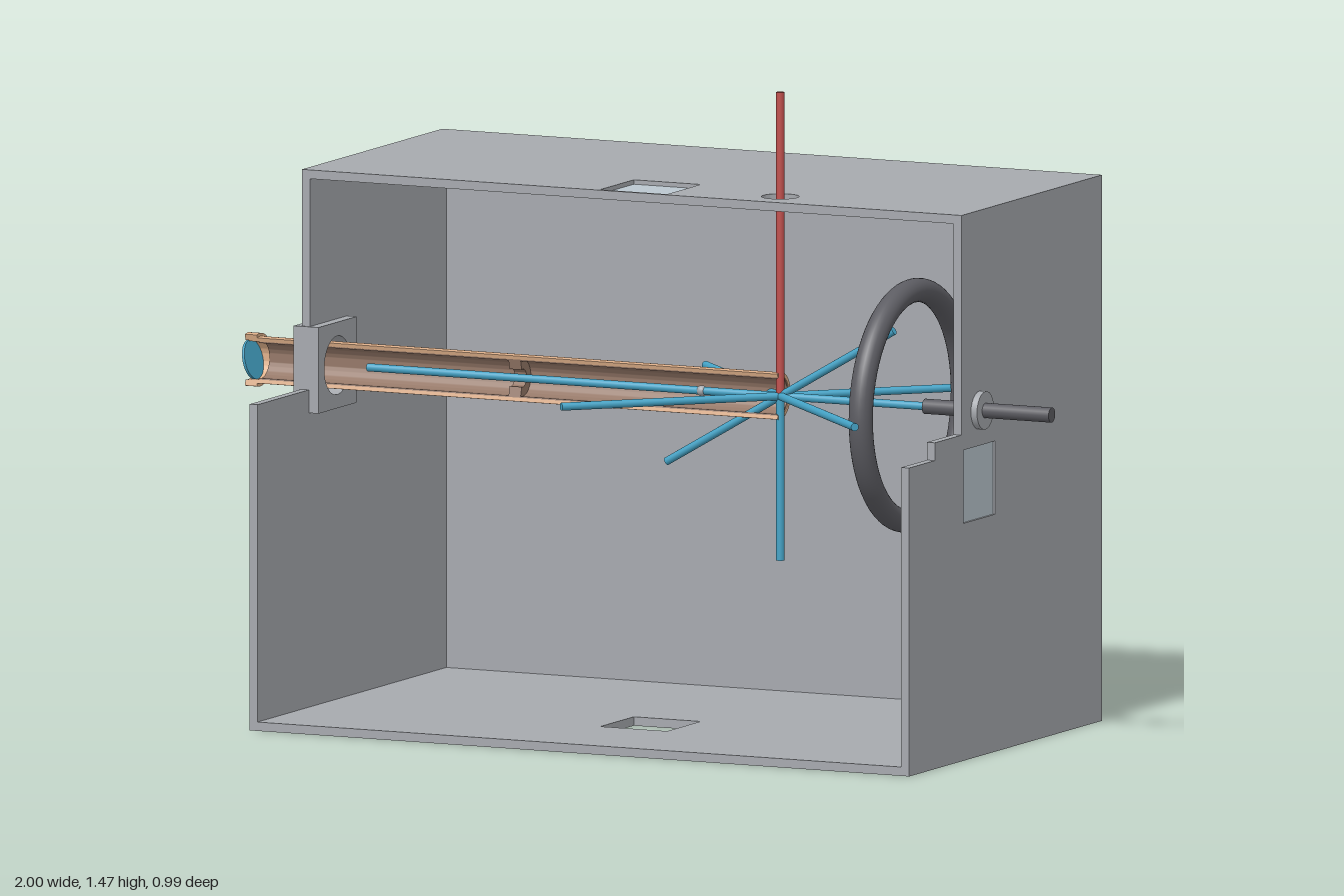
import * as THREE from 'three';
import { toCreasedNormals } from 'three/addons/utils/BufferGeometryUtils.js';

const mat = (name, color) => {
  const m = new THREE.MeshStandardMaterial({ color });
  m.name = name;
  return m;
};

export function createModel() {
  const grey = mat('chamber grey', 0xa6a9ae);
  const glass = mat('window glass', 0xbac6ce);
  const copper = mat('copper', 0xdfb08a);
  const brown = mat('inner brown', 0x957868);
  const blue = mat('beam blue', 0x45a3c6);
  const red = mat('beam red', 0xc0504d);
  const dark = mat('dark metal', 0x5c5c62);

  const W = 0.82, H = 1.23, T = 0.02, BACK = -0.5, TOPZ = 0.21, FRONT = 0.475;
  const C = new THREE.Vector3(0.325, 0.78, 0.12); // point where all beams cross

  const model = new THREE.Group();
  const add = (name, geo, material, x = 0, y = 0, z = 0) => {
    const mesh = new THREE.Mesh(geo, material);
    mesh.name = name;
    mesh.position.set(x, y, z);
    model.add(mesh);
    return mesh;
  };

  // Outlines and holes
  const poly = (pts) => new THREE.Shape(pts.map(([a, b]) => new THREE.Vector2(a, b)));
  const rect = (a0, b0, a1, b1) => poly([[a0, b0], [a1, b0], [a1, b1], [a0, b1]]);
  const circle = (a, b, r) => new THREE.Shape().absarc(a, b, r, 0, Math.PI * 2);
  const extrude = (shape, depth) =>
    toCreasedNormals(new THREE.ExtrudeGeometry(shape, { depth, bevelEnabled: false, curveSegments: 32 }), 0.6);
  // Plate facing x, its outline drawn in (-z, y)
  const alongX = (shape, depth) => extrude(shape, depth).rotateY(Math.PI / 2);
  // Plate facing y, its outline drawn in (x, z), hanging below its origin
  const alongY = (shape, depth) => extrude(shape, depth).rotateX(Math.PI / 2);

  // Cylinder between two points
  const rod = (name, a, b, r, material) => {
    const dir = b.clone().sub(a);
    const mesh = add(name, new THREE.CylinderGeometry(r, r, dir.length(), 24), material);
    mesh.position.copy(a).add(b).multiplyScalar(0.5);
    mesh.quaternion.setFromUnitVectors(new THREE.Vector3(0, 1, 0), dir.normalize());
    return mesh;
  };
  const off = (x, y, z) => C.clone().add(new THREE.Vector3(x, y, z));

  // Chamber: back, floor and roof
  add('backWall', new THREE.BoxGeometry(2 * W - 2 * T, H - 2 * T, T), grey, 0, H / 2, BACK + T / 2);
  const windowHole = () => rect(-0.083, 0.03, 0.083, 0.2);
  const floor = rect(-W + T, BACK, W - T, FRONT);
  floor.holes.push(windowHole());
  add('floor', alongY(floor, T), grey, 0, T, 0);
  const roof = rect(-W + T, BACK, W - T, TOPZ);
  roof.holes.push(windowHole(), circle(C.x, C.z, 0.042));
  add('roof', alongY(roof, T), grey, 0, H, 0);
  add('roofWindow', new THREE.BoxGeometry(0.166, 0.006, 0.17), glass, 0, H - 0.013, 0.115);

  // Side walls with cut-away front
  const left = poly([[-FRONT, 0], [-BACK, 0], [-BACK, H], [-TOPZ, H], [-TOPZ, 0.735],
    [-0.345, 0.735], [-0.345, 0.695], [-FRONT, 0.695]]);
  left.holes.push(rect(-0.2, 0.535, -0.04, 0.7));
  add('leftWall', alongX(left, T), grey, W - T);
  add('sideWindow', new THREE.BoxGeometry(0.006, 0.165, 0.16), glass, W - 0.008, 0.6175, 0.12);
  const right = poly([[-FRONT, 0], [-BACK, 0], [-BACK, H], [-TOPZ, H], [-TOPZ, 0.735], [-FRONT, 0.735]]);
  right.holes.push(circle(-C.z, C.y, 0.066));
  add('rightWall', alongX(right, T), grey, -W);

  // Tube mount clamped around the right wall
  const mount = rect(-0.215, 0.683, -0.022, 0.877);
  mount.holes.push(circle(-C.z, C.y, 0.066));
  add('tubeMount', alongX(mount, 0.062), grey, -0.838);

  // Tube cut open towards the front
  const trough = (name, rOut, rIn, x0, x1, material) => {
    const a = Math.PI / 2 + 0.27;
    const s = new THREE.Shape();
    s.absarc(0, 0, rOut, -a, a, false);
    s.absarc(0, 0, rIn, a, -a, true);
    s.closePath();
    add(name, alongX(s, x1 - x0), material, x0, C.y, C.z);
  };
  trough('tube', 0.053, 0.044, -0.99, C.x, copper);
  trough('tubeLining', 0.0445, 0.041, -0.965, C.x - 0.002, brown);
  trough('tubeEndCollar', 0.06, 0.046, -0.998, -0.968, copper);
  trough('tubeRing', 0.0415, 0.02, -0.345, -0.315, brown);

  // Tilted disc closing the tube end
  const disc = add('endWindow', new THREE.CylinderGeometry(0.045, 0.045, 0.006, 32), blue, -0.986, C.y, C.z);
  disc.rotation.z = Math.PI / 2 + 0.22;
  add('bead', new THREE.SphereGeometry(0.012, 20, 14), grey, 0.13, C.y, C.z);

  // Beams
  const R = 0.009;
  rod('longBeam', off(-1.025, 0, 0), off(0.365, 0, 0), R, blue);
  rod('verticalBeam', off(0, -0.37, 0), C, R, blue);
  rod('tiltedBeam', off(-0.283, -0.165, 0), off(0.283, 0.165, 0), R, blue);
  for (const s of [-1, 1]) rod('diagonalBeam', off(-0.365 * s, 0, -0.365), off(0.365 * s, 0, 0.365), R, blue);
  rod('redBeam', C, off(0, 0.685, 0), R, red);

  // Ring, its shaft and the shaft collar
  add('ring', new THREE.TorusGeometry(0.258, 0.027, 24, 72).rotateY(Math.PI / 2), dark, 0.652, C.y, C.z);
  rod('shaft', off(0.36, 0, 0), off(0.675, 0, 0), 0.017, dark);
  rod('shaftCollar', off(0.475, 0, 0), off(0.51, 0, 0), 0.043, grey);

  return model;
}
